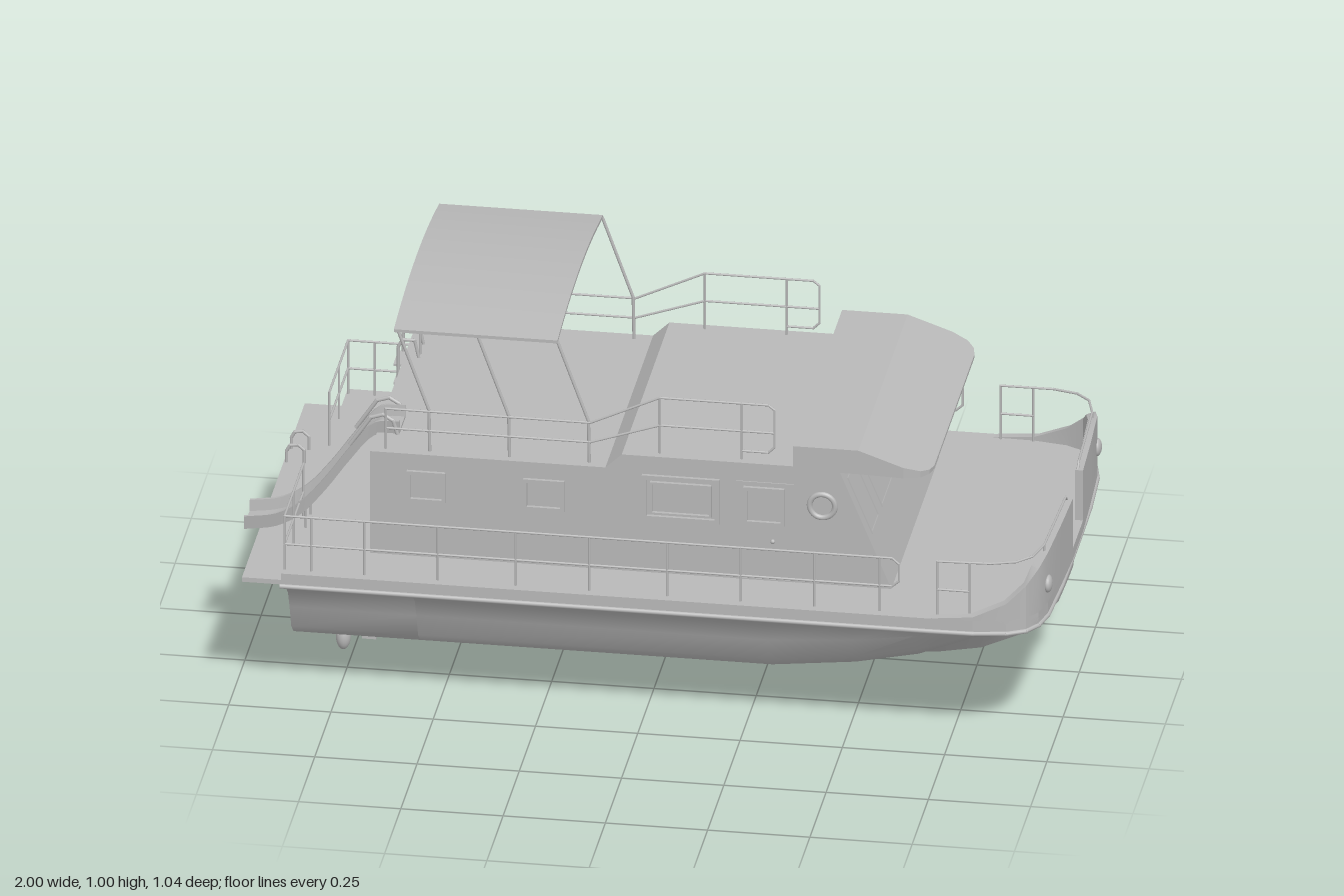
import * as THREE from 'three';
import { mergeGeometries, toCreasedNormals } from 'three/addons/utils/BufferGeometryUtils.js';

const grey = new THREE.MeshStandardMaterial({ color: 0xb8b8b8, side: THREE.DoubleSide });
grey.name = 'paintedGrey';
const V = (x, y, z) => new THREE.Vector3(x, y, z);

export function createModel() {
  const root = new THREE.Group();
  const add = (name, geo, parent = root) => {
    const m = new THREE.Mesh(geo, grey);
    m.name = name;
    parent.add(m);
    return m;
  };
  const box = (name, x0, x1, y0, y1, z0, z1) => add(name,
    new THREE.BoxGeometry(x1 - x0, y1 - y0, z1 - z0).translate((x0 + x1) / 2, (y0 + y1) / 2, (z0 + z1) / 2));

  // Skin over cross-sections, optionally closed around and capped at the ends
  const loft = (rings, closed = true, crease = 0.5) => {
    const n = rings[0].length, pos = rings.flat().flatMap(p => [p.x, p.y, p.z]), idx = [];
    for (let i = 0; i < rings.length - 1; i++)
      for (let j = 0; j < (closed ? n : n - 1); j++) {
        const a = i * n + j, b = i * n + (j + 1) % n;
        idx.push(a, b, b + n, a, b + n, a + n);
      }
    if (closed) {
      const flat = rings[0].map(p => new THREE.Vector2(p.z, p.y));
      const e = (rings.length - 1) * n;
      for (const [a, b, c] of THREE.ShapeUtils.triangulateShape(flat, []))
        idx.push(c, b, a, e + a, e + b, e + c);
    }
    const g = new THREE.BufferGeometry();
    g.setAttribute('position', new THREE.Float32BufferAttribute(pos, 3));
    g.setIndex(idx);
    return toCreasedNormals(g, crease);
  };

  // Pipework: each path is a polyline of thin cylinders
  const bar = (a, b, r) => {
    const d = b.clone().sub(a);
    const g = new THREE.CylinderGeometry(r, r, d.length() + r, 8);
    g.applyQuaternion(new THREE.Quaternion().setFromUnitVectors(V(0, 1, 0), d.normalize()));
    const c = a.clone().add(b).multiplyScalar(0.5);
    return g.translate(c.x, c.y, c.z);
  };
  const pipes = (name, paths, r = 0.003) => add(name, mergeGeometries(
    paths.flatMap(p => p.slice(1).map((q, i) => bar(V(...p[i]), V(...q), r)))));

  // Hull: full midship section blending into a hollow, flared bow with a sharp stem
  const mid = [[0, 0], [.05, .02], [.13, .1], [.25, .19], [.41, .28], [.62, .335], [.69, .43], [.74, .63], [.79, .79], [.88, .91], [1, 1]];
  const bow = [[0, 0], [.025, .12], [.05, .27], [.085, .4], [.14, .52], [.21, .62], [.3, .71], [.43, .8], [.6, .875], [.8, .94], [1, 1]];
  const half = (x, w, keel, t) => mid.map(([z, y], i) => V(x,
    THREE.MathUtils.lerp(keel, .338, y + (bow[i][1] - y) * t), w * (z + (bow[i][0] - z) * t)));
  const stations = [[-.56, .515, .015, 0], [.3, .515, .015, 0], [.5, .515, .02, .1], [.65, .515, .03, .24], [.76, .514, .05, .42],
    [.85, .51, .09, .63], [.91, .497, .14, .8], [.95, .474, .19, .92], [.973, .435, .25, 1], [.985, .38, .285, 1]];
  add('hull', loft(stations.map(s => {
    const h = half(...s);
    return [...h, ...h.slice(1).reverse().map(p => V(p.x, p.y, -p.z))];
  })));
  for (const s of [1, -1])
    add('sternSideShell', loft([-.87, -.56].map(x => half(x, .515, .015, 0).slice(5).map(p => V(x, p.y, s * p.z))), false));

  // Deck with rounded bow corners, rub rail and swim platform
  const edge = [[.72, .515], [.82, .513], [.9, .5], [.945, .477], [.97, .44], [.984, .38], [.992, .22], [.997, .077]];
  const outline = [[-.87, .515], ...edge];
  const rim = [...outline, ...outline.slice().reverse().map(([x, z]) => [x, -z])];
  const deckShape = new THREE.Shape(rim.map(([x, z]) => new THREE.Vector2(x, z)));
  add('deck', new THREE.ExtrudeGeometry(deckShape, { depth: .035, bevelEnabled: false }).rotateX(Math.PI / 2).translate(0, .372, 0));
  pipes('rubRail', [rim.map(([x, z]) => [Math.min(x, .993), .338, z])], .006);
  box('swimPlatform', -.97, -.86, .328, .34, -.485, .485);

  // Bow bulwarks, one on each side of the boarding gap
  const tops = [.373, .382, .417, .458, .488, .505, .506, .506];
  for (const s of [1, -1]) {
    add('bulwark', loft(edge.map(([x, z], i) => {
      const dx = i > 3 ? .02 : .008, dz = i > 5 ? 0 : .02;
      return [V(x, .34, s * z), V(x, tops[i], s * z), V(x - dx, tops[i], s * (z - dz)), V(x - dx, .34, s * (z - dz))];
    })));
    const lamp = add('bowLamp', new THREE.SphereGeometry(.022, 20, 12));
    lamp.scale.x = .5;
    lamp.position.set(.984, .422, s * .38);
  }

  // Cabin with a stepped roof and raked front
  const profile = [[-.675, .37], [.6, .37], [.47, .683], [-.06, .683], [-.1, .645], [-.675, .645]];
  add('cabin', new THREE.ExtrudeGeometry(new THREE.Shape(profile.map(p => new THREE.Vector2(...p))),
    { depth: .736, bevelEnabled: false }).translate(0, 0, -.368));
  add('roofVisor', loft([[.36, .38, .68, .743], [.52, .38, .68, .743], [.63, .38, .677, .705], [.67, .365, .675, .692], [.688, .34, .675, .686], [.695, .31, .675, .683]]
    .map(([x, w, y0, y1]) => [V(x, y0, w), V(x, y1, w), V(x, y1, -w), V(x, y0, -w)]), true, .3));

  // Window and door frames, drawn in a wall's own plane
  const frame = (name, parent, x0, x1, y0, y1, t = .009, depth = .009) => {
    const rect = (C, a, b, c, d) => new C([[a, c], [b, c], [b, d], [a, d]].map(p => new THREE.Vector2(...p)));
    const s = rect(THREE.Shape, x0, x1, y0, y1);
    s.holes.push(rect(THREE.Path, x0 + t, x1 - t, y0 + t, y1 - t));
    return add(name, new THREE.ExtrudeGeometry(s, { depth, bevelEnabled: false }), parent);
  };
  for (const s of [1, -1]) {
    const wall = new THREE.Group();
    wall.name = 'sideWallFittings';
    wall.position.z = s * .368;
    wall.scale.z = s;
    root.add(wall);
    frame('smallWindow', wall, -.585, -.49, .52, .602);
    frame('smallWindow', wall, -.3, -.2, .52, .602);
    frame('largeWindow', wall, -.01, .18, .515, .635, .012);
    frame('largeWindowInner', wall, .01, .16, .532, .618, .005);
    frame('sideDoor', wall, .22, .36, .373, .635, .004, .003);
    frame('doorWindow', wall, .238, .338, .522, .622);
    add('doorKnob', new THREE.SphereGeometry(.006, 10, 8).translate(.31, .48, .006), wall);
    add('porthole', new THREE.TorusGeometry(.031, .007, 8, 32).translate(.43, .582, 0), wall);
  }
  const front = new THREE.Group();
  front.name = 'windscreen';
  front.applyMatrix4(new THREE.Matrix4().makeBasis(V(0, 0, -1), V(-.384, .923, 0), V(.923, .384, 0)).setPosition(.6, .37, 0));
  root.add(front);
  for (const [a, b] of [[-.335, -.23], [-.183, .183], [.23, .335]]) frame('frontWindow', front, a, b, .14, .298, .005, .003);
  const rear = new THREE.Group();
  rear.name = 'rearWall';
  rear.position.x = -.675;
  rear.rotation.y = -Math.PI / 2;
  root.add(rear);
  frame('rearDoor', rear, -.1, .1, .373, .62, .005, .004);
  frame('rearDoorWindow', rear, -.07, .07, .44, .59, .007, .005);

  // Sun canopy arched across the roof
  const arc = [];
  for (let i = 0; i <= 16; i++) {
    const u = i / 8 - 1;
    arc.push([.35 * u, .998 - .03 * u * u]);
  }
  add('canopy', loft([-.62, -.22].map(x => [...arc.map(([z, y]) => V(x, y, z)),
    ...arc.slice().reverse().map(([z, y]) => V(x, y - .008, z))])));
  for (const s of [1, -1]) {
    pipes('canopyPosts', [-.61, -.415, -.22].map(x => [[x, .962, s * .346], [x + .075, .755, s * .345], [x + .077, .64, s * .345]]), .004);
    const z = s * .347;
    pipes('roofRail', [
      [[-.64, .64, z], [-.64, .752, z], [-.14, .752, z], [.03, .832, z], [.295, .832, z], [.31, .82, z], [.31, .72, z], [.295, .705, z], [.23, .705, z]],
      [[-.64, .7, z], [-.14, .7, z], [.03, .758, z], [.31, .758, z]],
      [[.03, .832, z], [.03, .68, z]], [[.23, .832, z], [.23, .68, z]]]);

    // Deck railings along the side, the stern corner and the bow
    const d = s * .49;
    pipes('deckRail', [
      [[-.865, .515, s * .2], [-.865, .515, d], [.62, .515, d], [.637, .5, d], [.637, .455, d], [.62, .44, d], [-.865, .44, d], [-.865, .44, s * .2]],
      [[-.865, .515, s * .2], [-.865, .365, s * .2]], [[-.865, .515, s * .35], [-.865, .365, s * .35]],
      ...[-.865, -.8, -.67, -.49, -.3, -.12, .07, .25, .43, .59].map(x => [[x, .515, d], [x, .365, d]])]);
    pipes('bowRail', [
      [[.73, .365, d], [.73, .515, d], [.86, .517, s * .487], [.92, .518, s * .47], [.955, .519, s * .435], [.973, .52, s * .37], [.983, .52, s * .1], [.983, .5, s * .08]],
      [[.73, .44, d], [.81, .44, d]], [[.81, .515, d], [.81, .365, d]], [[.973, .52, s * .37], [.973, .48, s * .37]]]);

    // Stern drives
    const drive = new THREE.Group();
    drive.name = 'sternDrive';
    drive.position.z = s * .15;
    root.add(drive);
    add('driveLeg', new THREE.BoxGeometry(.035, .28, .03).translate(-.71, .18, 0), drive);
    add('driveHousing', new THREE.CylinderGeometry(.014, .014, .12, 14).rotateZ(Math.PI / 2).translate(-.73, .082, 0), drive);
    add('drivePlate', new THREE.BoxGeometry(.07, .006, .09).translate(-.71, .095, s * .02), drive);
    add('driveStrut', new THREE.BoxGeometry(.035, .06, .016).translate(-.775, .095, 0), drive);
    add('propeller', new THREE.SphereGeometry(1, 18, 12).scale(.018, .034, .022).translate(-.775, .036, 0), drive);
  }
  pipes('roofSternRail', [[[-.64, .752, -.347], [-.64, .752, -.18], [-.64, .64, -.18]], [[-.64, .7, -.347], [-.64, .7, -.18]]]);

  // Ladders to the roof and into the water
  const ladder = (name, sides, x, ys) => {
    pipes(name, [-.235, -.16].map(z => sides.map(([a, b]) => [a, b, z])), .004);
    for (const y of ys) box(name + 'Step', x - .012, x + .012, y - .003, y + .003, -.235, -.16);
  };
  ladder('roofLadder', [[-.69, .37], [-.69, .67], [-.68, .69], [-.65, .69], [-.64, .645]], -.69, [.42, .47, .52, .57, .62]);
  ladder('swimLadder', [[-.92, .335], [-.92, .375], [-.935, .388], [-.955, .385], [-.963, .37], [-.963, .22]], -.963, [.24, .275, .31]);

  // Water slide from the roof over the stern
  const run = new THREE.CatmullRomCurve3([[-.62, .652], [-.68, .645], [-.74, .575], [-.8, .49], [-.86, .42], [-.92, .383], [-1, .368]]
    .map(([x, y]) => V(x, y, 0))).getPoints(24);
  add('slide', loft(run.map(p => [[.168, .028], [.176, .028], [.18, 0], [.255, 0], [.259, .028], [.267, .028], [.262, -.008], [.173, -.008]]
    .map(([z, y]) => V(p.x, p.y + y, z)))));
  pipes('slideHandrails', [.17, .265].map(z => [[-.625, .645, z], [-.635, .68, z], [-.66, .695, z], [-.69, .685, z], [-.74, .61, z]]), .005);
  pipes('slideSupports', [.18, .255].map(z => [[-.85, .365, z], [-.85, .425, z]]));

  return root;
}
